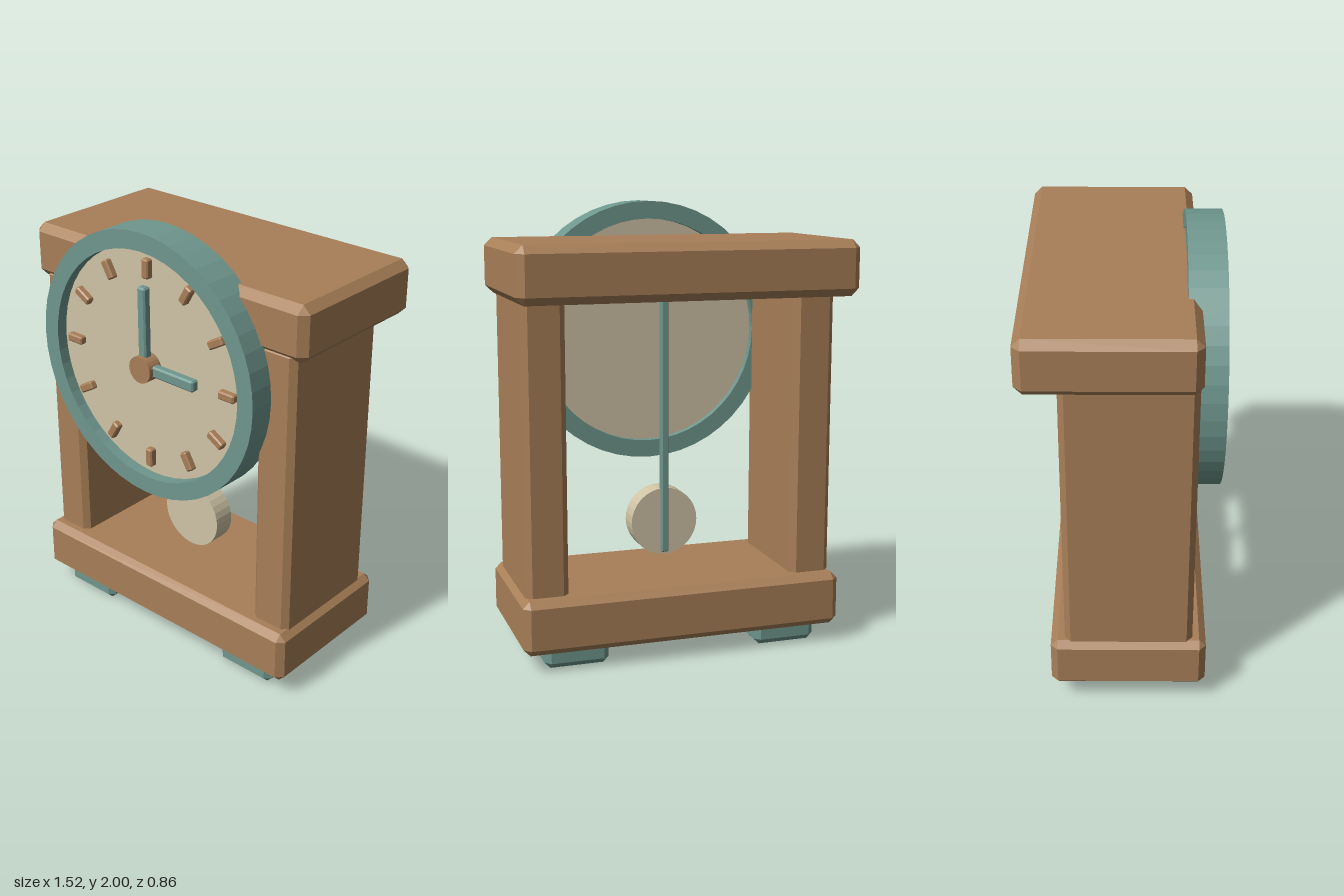
import * as THREE from 'three';
import { ConvexGeometry } from 'three/addons/geometries/ConvexGeometry.js';

const wood = new THREE.MeshStandardMaterial({ color: 0xa87f58, flatShading: true });
const teal = new THREE.MeshStandardMaterial({ color: 0x6f978e, flatShading: true });
const cream = new THREE.MeshStandardMaterial({ color: 0xd0c4a6, flatShading: true });

// Box with every edge cut at 45 degrees, given by its size and chamfer
function chamferBox(w, h, d, c) {
  const points = [];
  for (const sx of [-1, 1]) for (const sy of [-1, 1]) for (const sz of [-1, 1]) {
    const x = w / 2, y = h / 2, z = d / 2;
    points.push(
      new THREE.Vector3(sx * x, sy * (y - c), sz * (z - c)),
      new THREE.Vector3(sx * (x - c), sy * y, sz * (z - c)),
      new THREE.Vector3(sx * (x - c), sy * (y - c), sz * z));
  }
  return new ConvexGeometry(points);
}

function add(parent, name, geometry, material, x, y, z) {
  const mesh = new THREE.Mesh(geometry, material);
  mesh.name = name;
  mesh.position.set(x, y, z);
  parent.add(mesh);
  return mesh;
}

// Chamfered block from its extents
function block(parent, name, material, [x0, x1], [y0, y1], [z0, z1], c) {
  return add(parent, name, chamferBox(x1 - x0, y1 - y0, z1 - z0, c), material,
    (x0 + x1) / 2, (y0 + y1) / 2, (z0 + z1) / 2);
}

// Disc facing the front, between two depths
function disc(parent, name, material, r, y, z0, z1, segments) {
  const geometry = new THREE.CylinderGeometry(r, r, z1 - z0, segments).rotateX(Math.PI / 2);
  return add(parent, name, geometry, material, 0, y, (z0 + z1) / 2);
}

export function createModel() {
  const clock = new THREE.Group();
  clock.name = 'mantelClock';

  // Wooden case: base, top, two pillars on two feet
  block(clock, 'base', wood, [-0.735, 0.735], [0.08, 0.325], [-0.327, 0.355], 0.03);
  block(clock, 'top', wood, [-0.76, 0.76], [1.6, 1.845], [-0.43, 0.305], 0.035);
  for (const [side, s] of [['left', 1], ['right', -1]]) {
    const span = (a, b) => (s > 0 ? [a, b] : [-b, -a]);
    block(clock, side + 'Pillar', wood, span(0.52, 0.71), [0.29, 1.64], [-0.265, 0.295], 0.026);
    block(clock, side + 'Foot', teal, span(0.345, 0.635), [0, 0.11], [-0.28, 0.31], 0.026);
  }

  // Dial: rim, recessed face, hour marks, hands, hub
  const dial = new THREE.Group();
  dial.name = 'dial';
  clock.add(dial);
  const cy = 1.4;
  const rimProfile = [[0.52, 0.25], [0.6, 0.25], [0.6, 0.41], [0.52, 0.41], [0.52, 0.25]]
    .map(([r, z]) => new THREE.Vector2(r, z));
  add(dial, 'rim', new THREE.LatheGeometry(rimProfile, 48).rotateX(Math.PI / 2), teal, 0, cy, 0);
  disc(dial, 'face', cream, 0.525, cy, 0.285, 0.36, 48);

  const markGeometry = chamferBox(0.037, 0.085, 0.04, 0.006);
  for (let i = 0; i < 12; i++) {
    const a = i * Math.PI / 6;
    const mark = add(dial, 'hourMark', markGeometry, wood,
      0.438 * Math.sin(a), cy + 0.438 * Math.cos(a), 0.37);
    mark.rotation.z = -a;
  }
  block(dial, 'minuteHand', teal, [-0.022, 0.022], [cy, 1.765], [0.375, 0.415], 0.007);
  block(dial, 'hourHand', teal, [0, 0.28], [cy - 0.025, cy + 0.025], [0.37, 0.41], 0.007);
  disc(dial, 'hub', wood, 0.06, cy, 0.35, 0.43, 24);

  // Pendulum hanging from the top
  block(clock, 'pendulumRod', teal, [-0.018, 0.018], [0.4, 1.62], [-0.005, 0.03], 0.006);
  disc(clock, 'pendulumBob', cream, 0.157, 0.545, 0.01, 0.11, 32);

  return clock;
}
